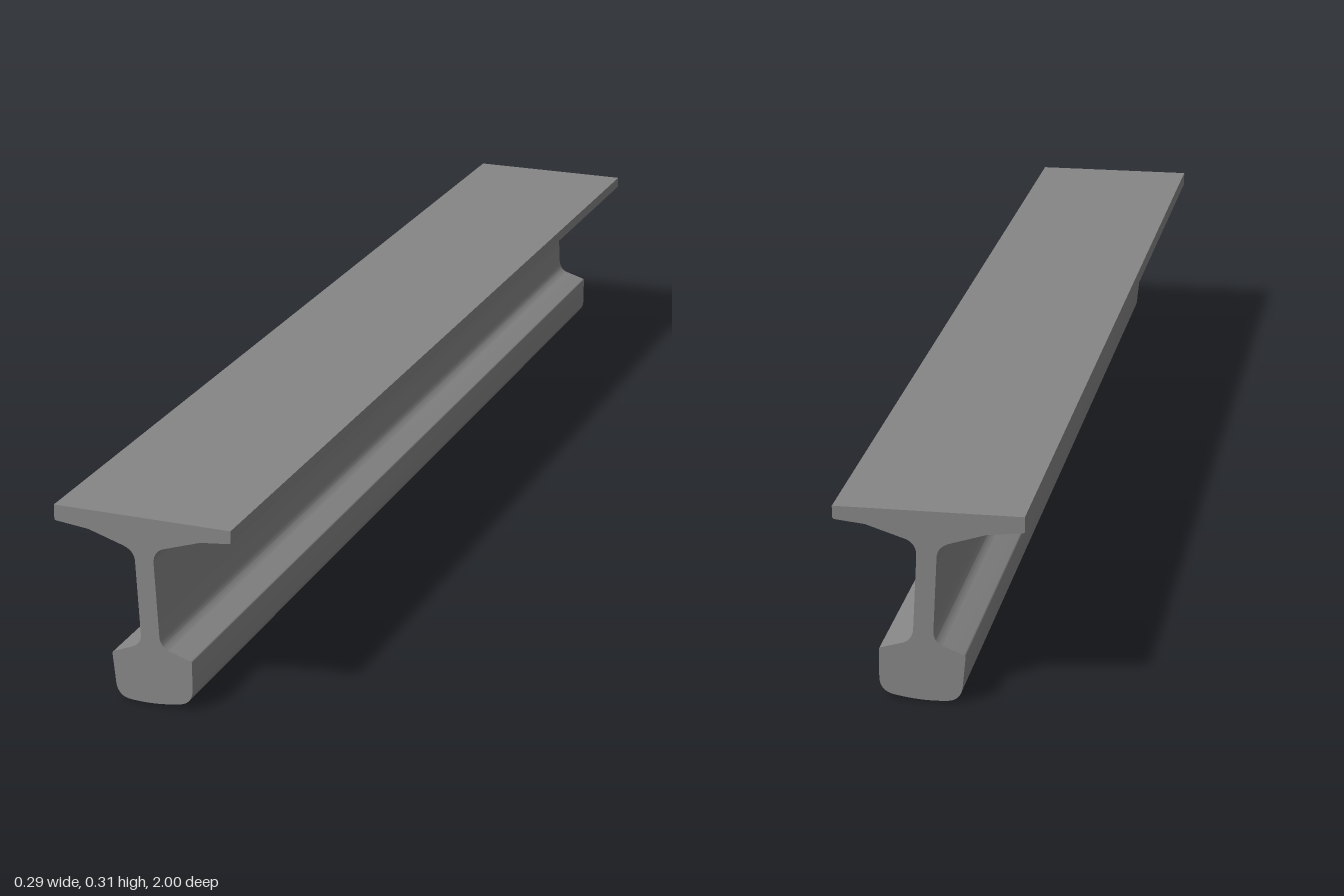
import * as THREE from 'three';
import { toCreasedNormals } from 'three/addons/utils/BufferGeometryUtils.js';

// Rail cross-section, counter-clockwise from the top right corner of the flange.
// Two numbers: straight line to a point. Four numbers: rounded corner (control, end).
const PROFILE = [
  [-0.1475, 0.31],
  // left flange underside
  [-0.1475, 0.287], [-0.1475, 0.2845, -0.144, 0.284], [-0.09, 0.278],
  // left web with fillets
  [-0.033, 0.26], [-0.013, 0.2535, -0.0125, 0.2355],
  [-0.0063, 0.1155], [-0.0055, 0.0985, -0.022, 0.0915],
  // left side of the head
  [-0.053, 0.079], [-0.056, 0.0775, -0.0558, 0.0745],
  [-0.051, 0.0265], [-0.0485, 0.0025, -0.026, 0.001],
  // slightly crowned running surface
  [0.013, -0.0025, 0.056, 0.006],
  // right side of the head
  [0.0785, 0.0105, 0.079, 0.0335],
  [0.079, 0.0795], [0.079, 0.082, 0.076, 0.083],
  // right web with fillets
  [0.042, 0.093], [0.026, 0.0985, 0.025, 0.1165],
  [0.0187, 0.2355], [0.0175, 0.2555, 0.034, 0.263],
  // right flange underside
  [0.097, 0.2835], [0.143, 0.2885], [0.1475, 0.289, 0.1475, 0.293],
];

export function createModel() {
  const group = new THREE.Group();
  group.name = 'railBeam';

  const shape = new THREE.Shape();
  shape.moveTo(0.1475, 0.31);
  for (const p of PROFILE) {
    if (p.length === 2) shape.lineTo(...p);
    else shape.quadraticCurveTo(...p);
  }
  shape.closePath();

  const extruded = new THREE.ExtrudeGeometry(shape, {
    depth: 2, bevelEnabled: false, curveSegments: 20,
  });
  extruded.translate(0, 0, -1);

  // fillets smooth, flat faces and ends crisp
  const rail = new THREE.Mesh(
    toCreasedNormals(extruded, THREE.MathUtils.degToRad(9)),
    new THREE.MeshStandardMaterial({ color: 0x868686 }),
  );
  rail.name = 'rail';
  group.add(rail);
  return group;
}
